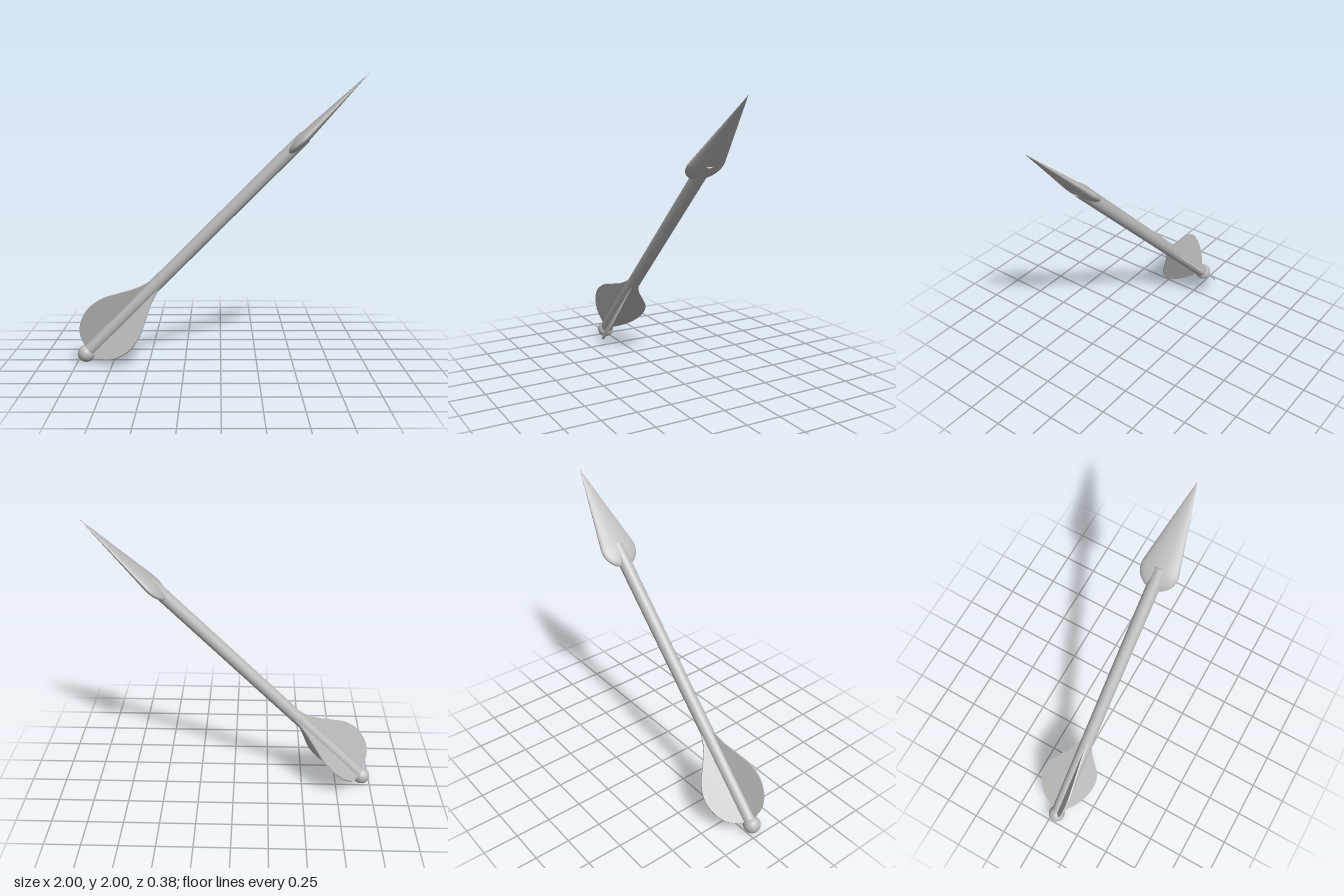
import * as THREE from 'three';

export function createModel() {
  const gray = new THREE.MeshStandardMaterial({ color: 0xbcbcbc });
  gray.name = 'plain gray';
  const model = new THREE.Group();
  model.name = 'arrow';

  // The arrow is built along +y from the nock, then tilted
  const arrow = new THREE.Group();
  arrow.name = 'tiltedArrow';
  arrow.position.set(-0.94, 0.06, 0.038);
  arrow.rotation.z = -Math.PI / 4;
  model.add(arrow);

  const add = (name, geometry, parent = arrow) => {
    const mesh = new THREE.Mesh(geometry, gray);
    mesh.name = name;
    parent.add(mesh);
    return mesh;
  };

  // Round nock and shaft
  const tip = 2.742, shaftEnd = 2.137;
  add('nock', new THREE.SphereGeometry(0.06, 32, 20));
  add('shaft', new THREE.CylinderGeometry(0.046, 0.046, shaftEnd, 32)).position.y = shaftEnd / 2;

  // Flattened head: round back running tangentially into a cone
  const R = 0.134, centre = 2.108;
  const tangent = Math.asin(R / (tip - centre));
  const profile = [];
  for (let i = 0; i <= 16; i++) {
    const a = -Math.PI / 2 + (i / 16) * (Math.PI / 2 + tangent);
    profile.push(new THREE.Vector2(i ? R * Math.cos(a) : 0, centre + R * Math.sin(a)));
  }
  profile.push(new THREE.Vector2(0, tip));
  const head = new THREE.LatheGeometry(profile, 48);
  head.scale(0.28, 1, 1);
  add('head', head);

  // Three vanes spaced evenly around the shaft
  const thick = 0.01;
  const outline = new THREE.Shape();
  outline.moveTo(0.02, 0.035);
  outline.lineTo(0.055, 0.04);
  outline.splineThru([
    [0.12, 0.07], [0.168, 0.11], [0.212, 0.18], [0.233, 0.28], [0.21, 0.385],
    [0.153, 0.48], [0.095, 0.57], [0.06, 0.65], [0.042, 0.72],
  ].map(([r, s]) => new THREE.Vector2(r, s)));
  outline.lineTo(0.02, 0.72);
  const vane = new THREE.ExtrudeGeometry(outline, { depth: thick, bevelEnabled: false, curveSegments: 40 });
  vane.translate(0, 0, -thick / 2);
  const vanes = new THREE.Group();
  vanes.name = 'fletching';
  arrow.add(vanes);
  for (let i = 0; i < 3; i++) {
    add('vane', vane, vanes).rotation.y = -THREE.MathUtils.degToRad(39.5 + i * 120);
  }

  return model;
}
